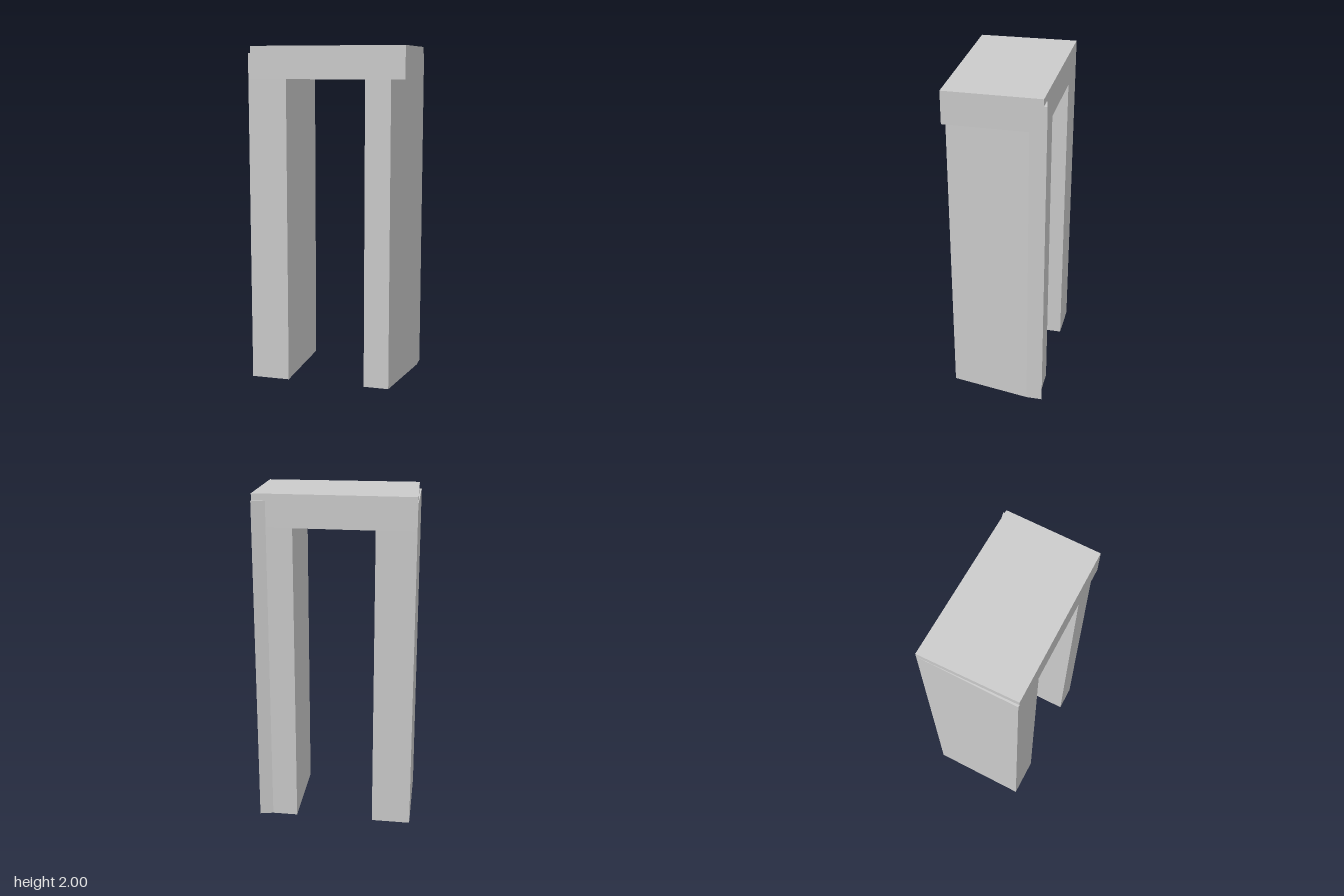
import * as THREE from 'three';

const material = new THREE.MeshStandardMaterial({ color: 0xcccccc, flatShading: true });

// Upright prism from a plan outline of [x, z] corners
function prism(name, outline, bottom, top) {
  const shape = new THREE.Shape(outline.map(([x, z]) => new THREE.Vector2(x, -z)));
  const geometry = new THREE.ExtrudeGeometry(shape, { depth: top - bottom, bevelEnabled: false });
  geometry.rotateX(-Math.PI / 2);
  geometry.translate(0, bottom, 0);
  const mesh = new THREE.Mesh(geometry, material);
  mesh.name = name;
  return mesh;
}

export function createModel() {
  const group = new THREE.Group();
  group.name = 'archway';

  const front = 0.288, half = 0.466, inner = 0.235;
  const legTop = 1.81, capBottom = 1.96, top = 2;
  // The back runs at a slight slant
  const back = (x) => -0.278 + 0.0268 * x;
  // Back corner flares outward beyond the slant
  const flare = [[half, -0.285], [0.387, back(0.387)]];

  group.add(
    // Straight leg
    prism('rightLeg', [
      [-half, front], [-inner, front], [-inner, back(-inner)], [-half, back(-half)],
    ], 0, legTop),
    // Leg whose outer face is cut away toward the front
    prism('leftLeg', [
      [inner, front], [0.385, front], [half, -0.19], ...flare, [inner, back(inner)],
    ], 0, legTop),
    // Beam over the opening
    prism('lintel', [
      [-half, front], [half, front], ...flare, [-half, back(-half)],
    ], legTop, capBottom),
    // Thin top slab with a tapered side
    prism('cap', [
      [-0.453, front], [half, front], [half, back(half)], [-half, back(-half)],
    ], capBottom, top),
  );
  return group;
}
